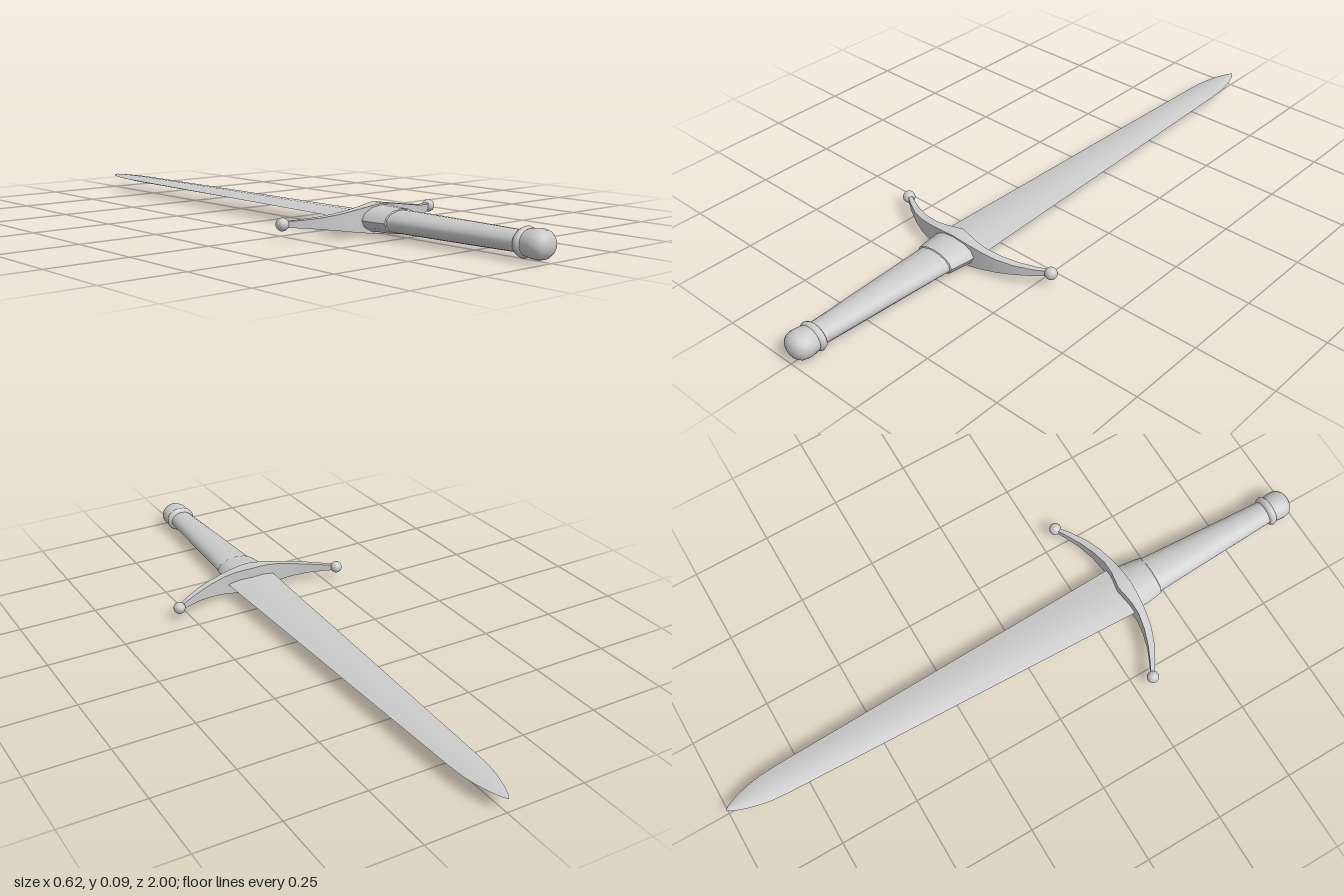
import * as THREE from 'three';
import { toCreasedNormals } from 'three/addons/utils/BufferGeometryUtils.js';

const MID = 0.047; // height of the sword's centre line

// Skin a list of closed rings (counter-clockwise about the travel direction) and cap both ends
function loft(rings, crease = 0.6) {
  const n = rings[0].length;
  const index = [];
  for (let i = 0; i < rings.length - 1; i++) {
    for (let j = 0; j < n; j++) {
      const k = (j + 1) % n;
      const a = i * n + j, b = i * n + k, c = b + n, d = a + n;
      index.push(a, b, c, a, c, d);
    }
  }
  const last = (rings.length - 1) * n;
  for (let j = 1; j < n - 1; j++) {
    index.push(0, j + 1, j, last, last + j, last + j + 1);
  }
  const geometry = new THREE.BufferGeometry();
  geometry.setAttribute('position', new THREE.Float32BufferAttribute(rings.flat(2), 3));
  geometry.setIndex(index);
  // Enlarged while creasing so that fine details are not merged
  geometry.scale(100, 100, 100);
  return toCreasedNormals(geometry, crease).scale(0.01, 0.01, 0.01);
}

// Elliptical rings along z from [z, half width, half height]
function ovalLoft(profile, sides, crease) {
  return loft(profile.map(([z, w, h]) => Array.from({ length: sides }, (_, j) => {
    const t = (j / sides) * Math.PI * 2;
    return [w * Math.cos(t), MID + h * Math.sin(t), z];
  })), crease);
}

export function createModel() {
  const group = new THREE.Group();
  const material = new THREE.MeshStandardMaterial({ color: 0xcccccc });
  const add = (name, geometry) => {
    const mesh = new THREE.Mesh(geometry, material);
    mesh.name = name;
    group.add(mesh);
    return mesh;
  };

  // Blade: flat bevelled section with a shallow central ridge, [z, half width, half thickness]
  const bladeStations = [
    [-1, 0.002, 0.001], [-0.985, 0.012, 0.004], [-0.95, 0.025, 0.006], [-0.91, 0.036, 0.007],
    [-0.87, 0.043, 0.008], [-0.82, 0.047, 0.009], [-0.4, 0.06, 0.01], [0, 0.072, 0.01], [0.38, 0.084, 0.011],
  ];
  const section = [[1, 0], [0.5, 0.75], [0, 1], [-0.5, 0.75], [-1, 0], [-0.5, -0.75], [0, -1], [0.5, -0.75]];
  add('blade', loft(bladeStations.map(([z, w, t]) =>
    section.map(([x, y]) => [x * w, MID + y * t, z])), 0.3));

  // Crossguard: bow swept toward the blade, [x, inner z, outer z, half height]
  const half = [
    [0, 0.358, 0.402, 0.044], [0.03, 0.364, 0.401, 0.041], [0.06, 0.369, 0.399, 0.037],
    [0.1, 0.37, 0.394, 0.031], [0.15, 0.36, 0.384, 0.023], [0.2, 0.343, 0.365, 0.016],
    [0.25, 0.319, 0.337, 0.011], [0.288, 0.298, 0.31, 0.008],
  ];
  const stations = [...half.slice(1).reverse().map(([x, ...rest]) => [-x, ...rest]), ...half];
  add('crossguard', loft(stations.map(([x, zi, zo, h]) => [
    [x, MID - h, zi], [x, MID + h, zi], [x, MID + h, zo], [x, MID - h, zo],
  ]), 0.5));

  // Round finials on the guard tips
  for (const side of [-1, 1]) {
    add(side > 0 ? 'leftFinial' : 'rightFinial', new THREE.SphereGeometry(0.019, 14, 10))
      .position.set(side * 0.289, MID, 0.305);
  }

  // Collar between guard and grip
  add('collar', ovalLoft([
    [0.37, 0.066, 0.036], [0.4, 0.077, 0.04], [0.42, 0.076, 0.038], [0.465, 0.07, 0.037],
    [0.478, 0.068, 0.036], [0.482, 0.06, 0.031],
  ], 12, 0.7));

  // Tapering oval grip
  add('grip', ovalLoft([
    [0.46, 0.064, 0.033], [0.6, 0.056, 0.032], [0.75, 0.048, 0.031], [0.92, 0.039, 0.029],
  ], 20));

  // Pommel: raised ring, then a domed cap
  add('pommelRing', ovalLoft([
    [0.908, 0.04, 0.031], [0.912, 0.047, 0.038], [0.92, 0.05, 0.042], [0.928, 0.047, 0.039], [0.932, 0.042, 0.034],
  ], 20, 0.9));
  add('pommel', ovalLoft([
    [0.925, 0.042, 0.035], [0.945, 0.046, 0.039], [0.962, 0.047, 0.041], [0.98, 0.043, 0.038],
    [0.991, 0.033, 0.029], [0.998, 0.018, 0.016], [1, 0.003, 0.003],
  ], 20, 0.9));

  return group;
}
